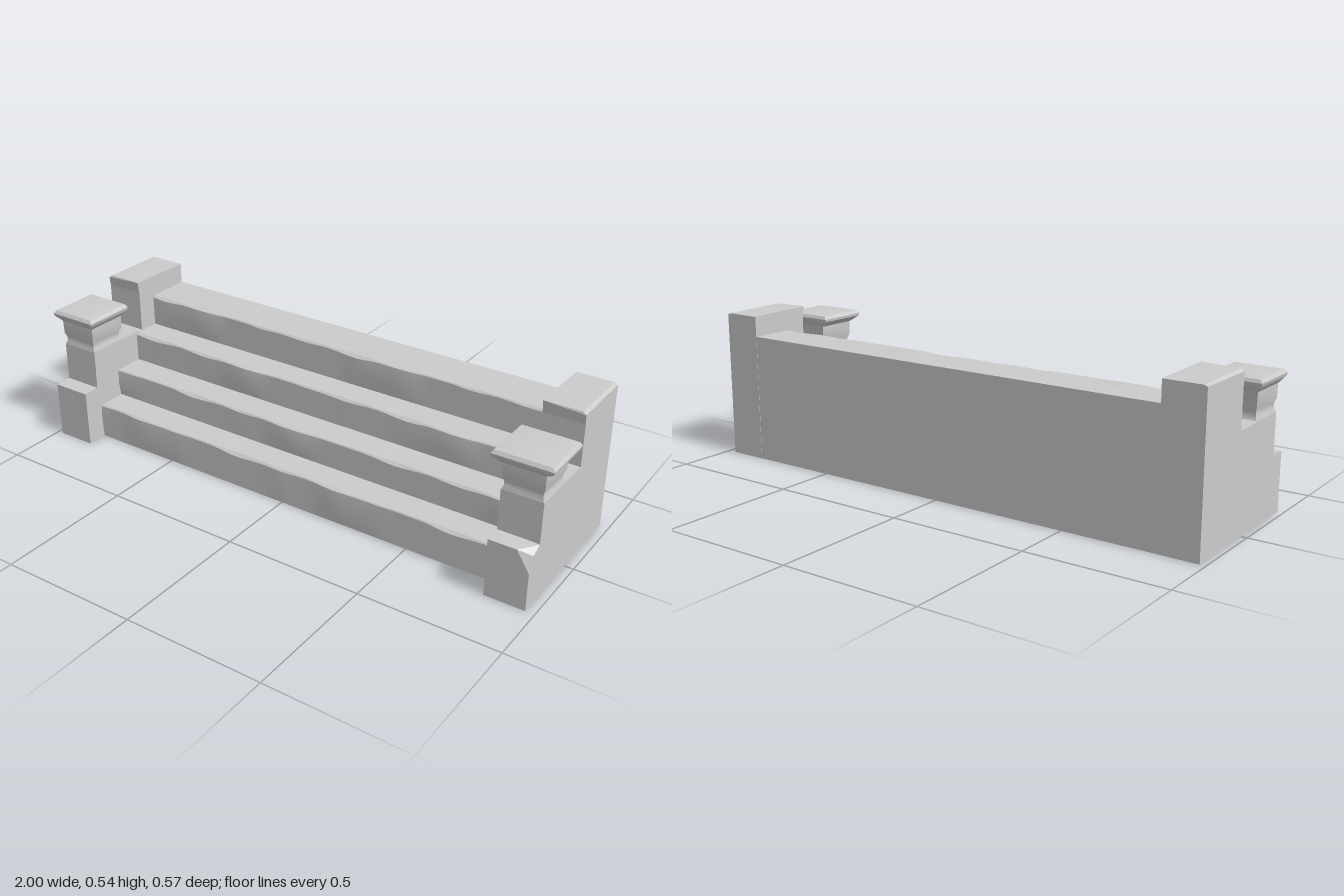
import * as THREE from 'three';
import { toCreasedNormals } from 'three/addons/utils/BufferGeometryUtils.js';
import { ConvexGeometry } from 'three/addons/geometries/ConvexGeometry.js';

const material = new THREE.MeshStandardMaterial({ color: 0xcccccc });

function part(name, geometry, crease = 0.6) {
  const mesh = new THREE.Mesh(toCreasedNormals(geometry, crease), material);
  mesh.name = name;
  return mesh;
}

// Skin a list of closed rings of [x, y, z] points.
function loft(rings, caps) {
  const n = rings[0].length, last = (rings.length - 1) * n, index = [];
  for (let i = 0; i < rings.length - 1; i++) {
    for (let j = 0; j < n; j++) {
      const k = (j + 1) % n;
      const a = i * n + j, b = i * n + k, c = b + n, d = a + n;
      index.push(a, d, c, a, c, b);
    }
  }
  if (caps) {
    for (let j = 1; j < n - 1; j++) {
      index.push(0, j, j + 1, last, last + j + 1, last + j);
    }
  }
  const geometry = new THREE.BufferGeometry();
  geometry.setAttribute('position', new THREE.Float32BufferAttribute(rings.flat(2), 3));
  geometry.setIndex(index);
  geometry.computeVertexNormals();
  return geometry;
}

// Smooth irregular wave in about -1..1, different for every seed.
const wave = (x, seed) =>
  0.5 * Math.sin(x * 7.3 + seed * 2.1) + 0.3 * Math.sin(x * 15.1 + seed * 4.7) + 0.2 * Math.sin(x * 29 + seed * 1.3);

// Worn flight of steps: one cross-section carried along x.
function steps() {
  const fronts = [0.207, 0.1, -0.01, -0.117], tops = [0.132, 0.236, 0.346, 0.464];
  const rings = [];
  for (let i = 0; i <= 60; i++) {
    const x = -0.9 + i * 0.03;
    const ring = [[x, 0, fronts[0]]];
    fronts.forEach((z, s) => {
      const low = s ? tops[s - 1] : 0, top = tops[s];
      const wear = Math.max(0, wave(x, s + 1));
      const bulge = 0.012 * Math.max(0, wave(x, s + 6));
      if (s) ring.push([x, low, z]);
      ring.push([x, low + (top - low) * 0.5, z + bulge]);
      ring.push([x, top - 0.004 - 0.012 * wear, z + bulge * 0.5]);
      ring.push([x, top - 0.004 * wear, z - 0.003 - 0.012 * wear]);
    });
    ring.push([x, 0.464, -0.284], [x, 0, -0.284]);
    rings.push(ring);
  }
  return part('steps', loft(rings, false), 0.5);
}

// Side wall with a low notch and a raised rear block.
function sideWall(x0, x1) {
  const outline = [[0.222, 0], [0.222, 0.2], [0.22, 0.354], [0.068, 0.354], [0.06, 0.351],
    [-0.041, 0.349], [-0.041, 0.5], [-0.285, 0.5], [-0.285, 0]];
  const shape = new THREE.Shape(outline.map(([z, y]) => new THREE.Vector2(z, y)));
  const geometry = new THREE.ExtrudeGeometry(shape, { depth: x1 - x0, bevelEnabled: false });
  geometry.rotateY(-Math.PI / 2).translate(x1, 0, 0);
  return part('sideWall', geometry);
}

// Sloping, slightly chipped top of the raised rear block.
function rearBlockTop(x0, x1, side) {
  const inner = side > 0 ? x0 : x1, outer = side > 0 ? x1 : x0;
  const points = [];
  for (const x of [x0, x1]) for (const z of [-0.041, -0.285]) points.push([x, 0.5, z]);
  points.push([outer, 0.533, -0.037], [outer, 0.533, -0.285], [inner, 0.543, -0.035],
    [inner, 0.538, -0.285], [outer - side * 0.012, 0.541, -0.04], [outer - side * 0.012, 0.538, -0.285]);
  return part('rearBlockTop', new ConvexGeometry(points.map((p) => new THREE.Vector3(...p))), 0.2);
}

// Low block at the foot of the post; one of them has a broken outer corner.
function footBlock(x0, x1, chipped) {
  const points = [];
  for (const x of [x0, x1]) {
    points.push([x, 0, 0.2], [x, 0, 0.284], [x, 0.21, 0.2]);
    if (!chipped || x === x0) points.push([x, 0.208, 0.284], [x, 0.21, 0.275]);
  }
  if (chipped) {
    points.push([x1, 0.135, 0.283], [x1, 0.19, 0.262], [x1, 0.208, 0.222],
      [x1 - 0.045, 0.208, 0.284]);
  }
  return part('footBlock', new ConvexGeometry(points.map((p) => new THREE.Vector3(...p))), 0.2);
}

// Square post with a waisted neck and flared cap.
function post(x0, x1, capX0, capX1) {
  // height, front z, back z, inset of the sides, cap blend
  const levels = [
    [0.34, 0.22, 0.065, 0, 0], [0.356, 0.219, 0.074, 0.003, 0], [0.368, 0.215, 0.079, 0.007, 0],
    [0.382, 0.215, 0.078, 0.007, 0], [0.398, 0.221, 0.068, 0.001, 0], [0.447, 0.222, 0.067, 0, 0],
    [0.456, 0.23, 0.061, 0, 0.4], [0.47, 0.243, 0.05, 0, 0.95], [0.48, 0.245, 0.048, 0, 1],
    [0.491, 0.237, 0.054, 0.008, 1], [0.493, 0.225, 0.066, 0.02, 1],
  ];
  const rings = levels.map(([y, front, back, inset, t]) => {
    const a = THREE.MathUtils.lerp(x0, capX0, t) + inset;
    const b = THREE.MathUtils.lerp(x1, capX1, t) - inset;
    return [[b, y, front], [a, y, front], [a, y, back], [b, y, back]];
  });
  return part('post', loft(rings, true));
}

export function createModel() {
  const model = new THREE.Group();
  model.name = 'stoneSteps';
  model.add(steps());
  const sides = [
    { name: 'rightSide', side: -1, wall: [-0.98, -0.835], cap: [-1, -0.815] },
    { name: 'leftSide', side: 1, wall: [0.825, 0.968], cap: [0.793, 1] },
  ];
  for (const { name, side, wall, cap } of sides) {
    const group = new THREE.Group();
    group.name = name;
    group.add(sideWall(...wall), rearBlockTop(...wall, side),
      footBlock(...wall, side > 0), post(...wall, ...cap));
    model.add(group);
  }
  return model;
}
